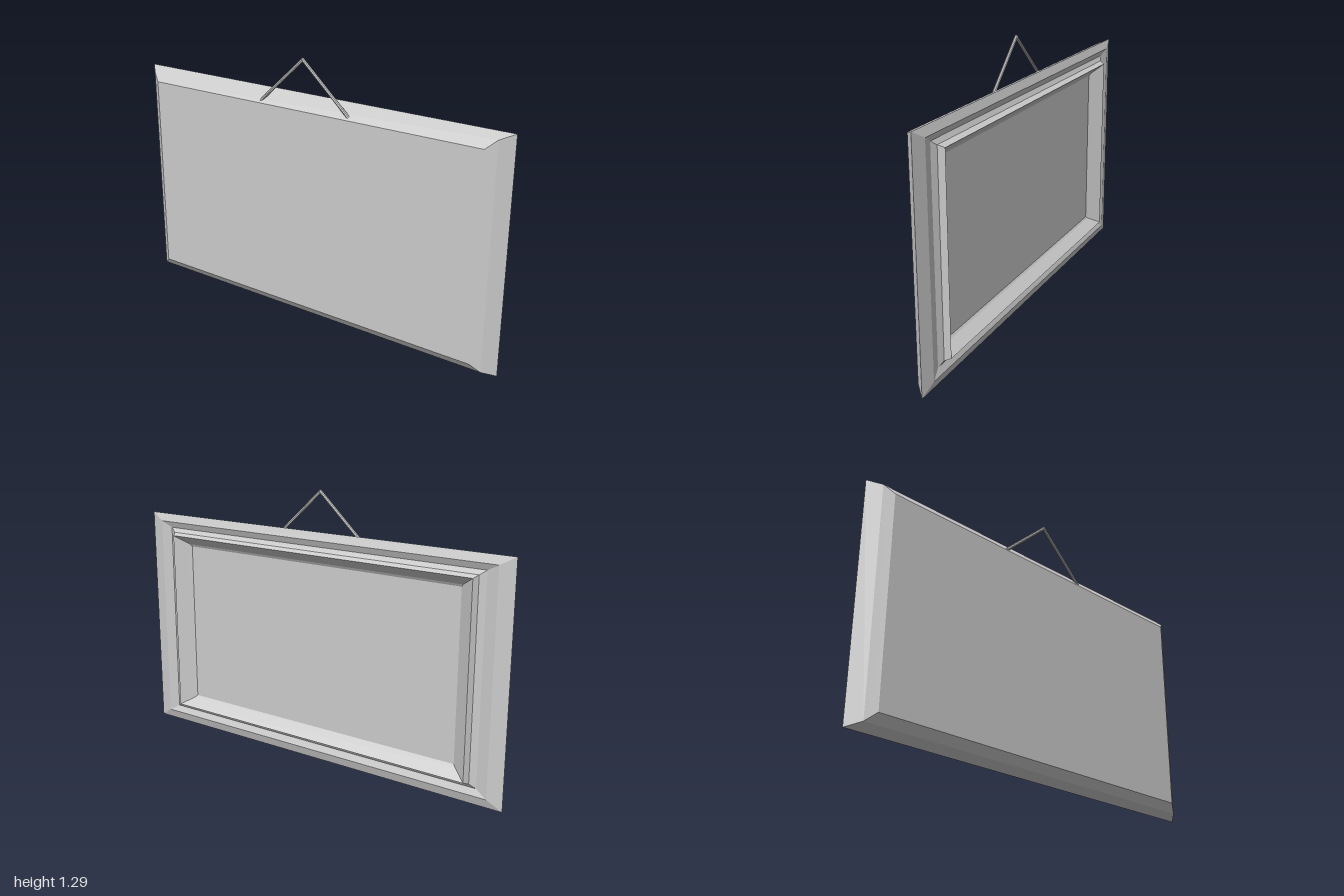
import * as THREE from 'three';

const material = new THREE.MeshStandardMaterial({ color: 0xcccccc, flatShading: true });

// Rectangular cross-sections, each [x, half width in z, bottom y, top y]
const backRing = [-0.06, 0.9, 0.065, 1.05];
const innerRing = [0.005, 0.755, 0.155, 0.955];
const frameRings = [
  backRing,
  [-0.032, 0.945, 0.025, 1.09],
  [0.02, 1, 0, 1.112],      // outer edge
  [0.035, 0.93, 0.045, 1.073],
  [0.022, 0.875, 0.077, 1.043], // groove
  [0.034, 0.845, 0.095, 1.022],
  [0.06, 0.83, 0.105, 1.01],  // raised lip
  [0.012, 0.765, 0.145, 0.967],
  innerRing,
];

function corners([x, h, y0, y1]) {
  return [[x, y0, h], [x, y0, -h], [x, y1, -h], [x, y1, h]];
}

function quadMesh(name, quads) {
  const points = quads.flatMap(([a, b, c, d]) => [a, b, c, a, c, d]).flat();
  const geometry = new THREE.BufferGeometry();
  geometry.setAttribute('position', new THREE.Float32BufferAttribute(points, 3));
  geometry.computeVertexNormals();
  const mesh = new THREE.Mesh(geometry, material);
  mesh.name = name;
  return mesh;
}

// Thin rod between two points
function rod(name, from, to, radius) {
  const length = from.distanceTo(to);
  const mesh = new THREE.Mesh(new THREE.CylinderGeometry(radius, radius, length, 8), material);
  mesh.position.copy(from).add(to).multiplyScalar(0.5);
  mesh.quaternion.setFromUnitVectors(new THREE.Vector3(0, 1, 0), to.clone().sub(from).normalize());
  mesh.name = name;
  return mesh;
}

export function createModel() {
  const model = new THREE.Group();
  model.name = 'hangingPictureFrame';

  // Mitred moulding: join each cross-section to the next
  const quads = [];
  for (let k = 0; k < frameRings.length - 1; k++) {
    const a = corners(frameRings[k]);
    const b = corners(frameRings[k + 1]);
    for (let i = 0; i < 4; i++) {
      const j = (i + 1) % 4;
      quads.push([a[i], a[j], b[j], b[i]]);
    }
  }
  model.add(quadMesh('moulding', quads));

  // Picture surface and flat back
  model.add(quadMesh('picturePanel', [corners(innerRing)]));
  model.add(quadMesh('backBoard', [corners(backRing).reverse()]));

  // Hanging cord, a shallow inverted V
  const cord = new THREE.Group();
  cord.name = 'hangingCord';
  const apex = new THREE.Vector3(-0.05, 1.285, 0);
  for (const side of [-1, 1]) {
    const foot = new THREE.Vector3(-0.047, 1.06, side * 0.245);
    cord.add(rod(side > 0 ? 'leftCord' : 'rightCord', foot, apex, 0.008));
  }
  const knot = new THREE.Mesh(new THREE.SphereGeometry(0.009, 8, 6), material);
  knot.name = 'cordBend';
  knot.position.copy(apex);
  cord.add(knot);
  model.add(cord);

  return model;
}
